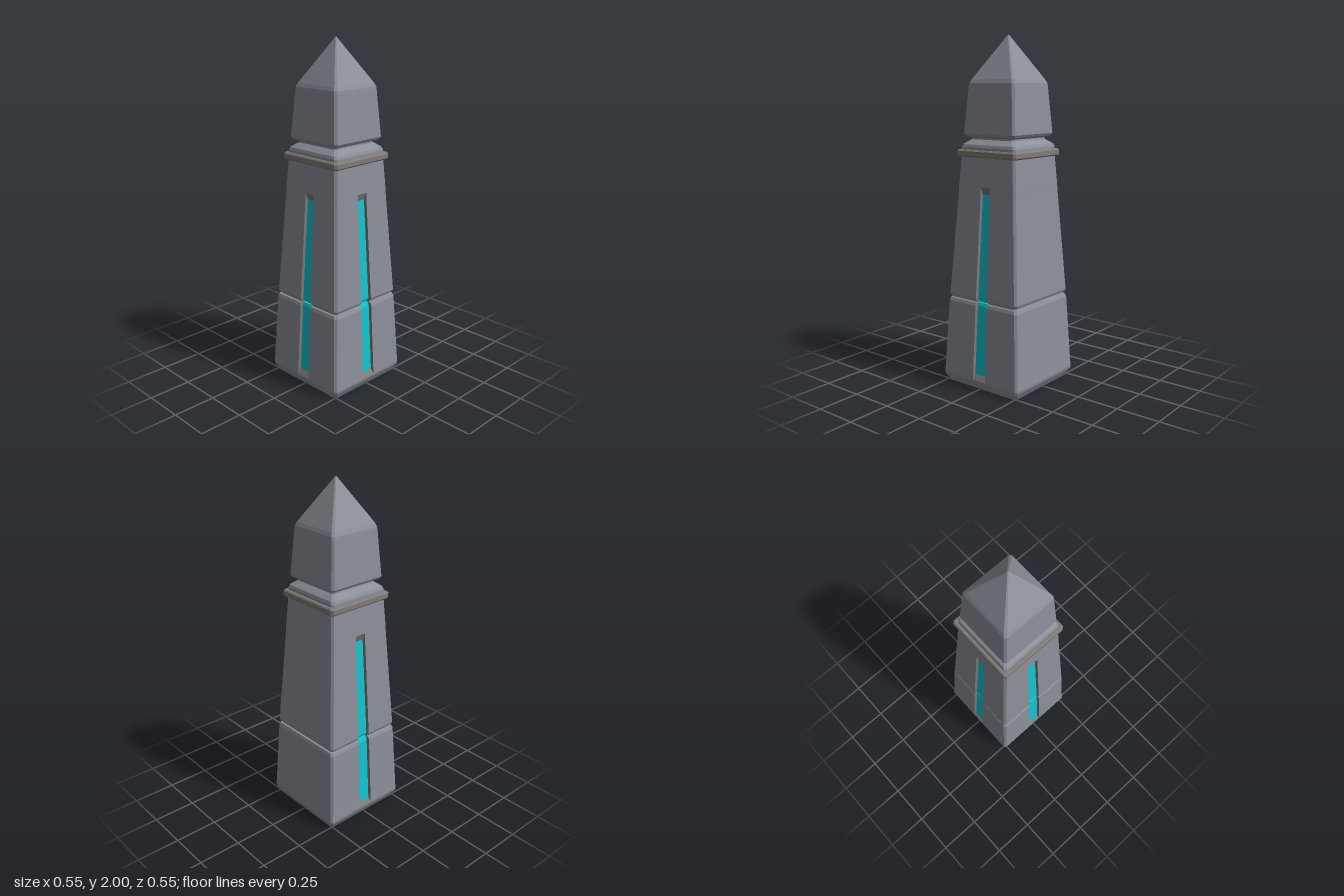
import * as THREE from 'three';

const stone = new THREE.MeshStandardMaterial({ color: 0x8d909a, flatShading: true });
const trim = new THREE.MeshStandardMaterial({ color: 0x7f7d78, flatShading: true });
const glow = new THREE.MeshStandardMaterial({ color: 0x10c6d2, flatShading: true });

// Point on one of four faces: u runs along the face, d is its distance from the axis
function facePoint(side, u, y, d) {
  const s = [0, 1, 0, -1][side % 4], c = [1, 0, -1, 0][side % 4];
  return [u * c + d * s, y, -u * s + d * c];
}

// Collects triangles from quads given as lower left, lower right, upper right, upper left
class Surface {
  constructor() { this.positions = []; }
  tri(a, b, c) { this.positions.push(...a, ...b, ...c); }
  quad(a, b, c, d) { this.tri(a, b, c); this.tri(a, c, d); }
  mesh(name, material) {
    const geo = new THREE.BufferGeometry();
    geo.setAttribute('position', new THREE.Float32BufferAttribute(this.positions, 3));
    geo.computeVertexNormals();
    const mesh = new THREE.Mesh(geo, material);
    mesh.name = name;
    return mesh;
  }
}

// Square section with cut corners, swept up through rows of [height, half width].
// skip(side, row) leaves out a face so that it can be built with a slot.
function addTower(surface, rows, bevel, skip = () => false) {
  const flat = (h) => h - Math.min(bevel, h * 0.4);
  for (let i = 0; i < rows.length - 1; i++) {
    const [y0, h0] = rows[i], [y1, h1] = rows[i + 1];
    const f0 = flat(h0), f1 = flat(h1);
    for (let k = 0; k < 4; k++) {
      if (!skip(k, i)) {
        surface.quad(facePoint(k, -f0, y0, h0), facePoint(k, f0, y0, h0),
          facePoint(k, f1, y1, h1), facePoint(k, -f1, y1, h1));
      }
      surface.quad(facePoint(k, f0, y0, h0), facePoint(k + 1, -f0, y0, h0),
        facePoint(k + 1, -f1, y1, h1), facePoint(k, f1, y1, h1));
    }
  }
  // End caps
  for (const [row, up] of [[rows[0], false], [rows[rows.length - 1], true]]) {
    const [y, h] = row, f = flat(h), ring = [];
    for (let k = 0; k < 4; k++) ring.push(facePoint(k, -f, y, h), facePoint(k, f, y, h));
    ring.forEach((p, i) => {
      const q = ring[(i + 1) % ring.length];
      if (up) surface.tri([0, y, 0], p, q);
      else surface.tri([0, y, 0], q, p);
    });
  }
  return surface;
}

export function createModel() {
  const group = new THREE.Group();
  const bevel = 0.012;

  // Tapered shaft with a groove between its two blocks
  const rows = [
    [0, 0.25], [0.035, 0.27], [0.05, 0.273], [0.08, 0.271], [0.485, 0.25], [0.503, 0.243],
    [0.505, 0.232], [0.514, 0.232], [0.516, 0.241], [0.53, 0.247], [1.12, 0.208], [1.16, 0.206],
    [1.325, 0.195], [1.335, 0.193],
  ];
  const first = 2, last = 11; // rows where the slots begin and end
  const slotSides = [0, 2, 3];
  const inSlot = (k, i) => slotSides.includes(k) && i >= first && i < last;
  const shaft = addTower(new Surface(), rows, bevel, inSlot);

  // Recessed slots with sloping ends and lit floors
  const walls = new Surface(), strips = new Surface();
  for (const k of slotSides) {
    const section = (i) => {
      const [y, h] = rows[i];
      const w = 0.045 - 0.0105 * (y - 0.05);
      const open = i > first && i < last;
      const inner = open ? w - 0.004 : w, depth = open ? 0.016 : 0;
      const f = h - bevel;
      return {
        edgeL: facePoint(k, -f, y, h), edgeR: facePoint(k, f, y, h),
        lipL: facePoint(k, -w, y, h), lipR: facePoint(k, w, y, h),
        floorL: facePoint(k, -inner, y, h - depth), floorR: facePoint(k, inner, y, h - depth),
      };
    };
    for (let i = first; i < last; i++) {
      const a = section(i), b = section(i + 1);
      shaft.quad(a.edgeL, a.lipL, b.lipL, b.edgeL);
      shaft.quad(a.lipR, a.edgeR, b.edgeR, b.lipR);
      walls.quad(a.lipL, a.floorL, b.floorL, b.lipL);
      walls.quad(a.floorR, a.lipR, b.lipR, b.floorR);
      const floor = i === first || i === last - 1 ? walls : strips;
      floor.quad(a.floorL, a.floorR, b.floorR, b.floorL);
    }
  }
  group.add(shaft.mesh('shaft', stone), walls.mesh('slotWalls', trim), strips.mesh('lightStrips', glow));

  // Collar band, neck and pointed cap
  const upper = [
    ['collar', trim, [[1.325, 0.206], [1.332, 0.213], [1.358, 0.213], [1.366, 0.206]]],
    ['neck', stone, [[1.36, 0.194], [1.38, 0.193], [1.395, 0.187], [1.422, 0.152], [1.45, 0.15]]],
    ['cap', stone, [[1.43, 0.15], [1.442, 0.176], [1.455, 0.184], [1.72, 0.164],
      [1.735, 0.162], [1.755, 0.153], [1.99, 0.01], [2, 0.003]]],
  ];
  for (const [name, material, profile] of upper) {
    group.add(addTower(new Surface(), profile, bevel).mesh(name, material));
  }
  return group;
}
